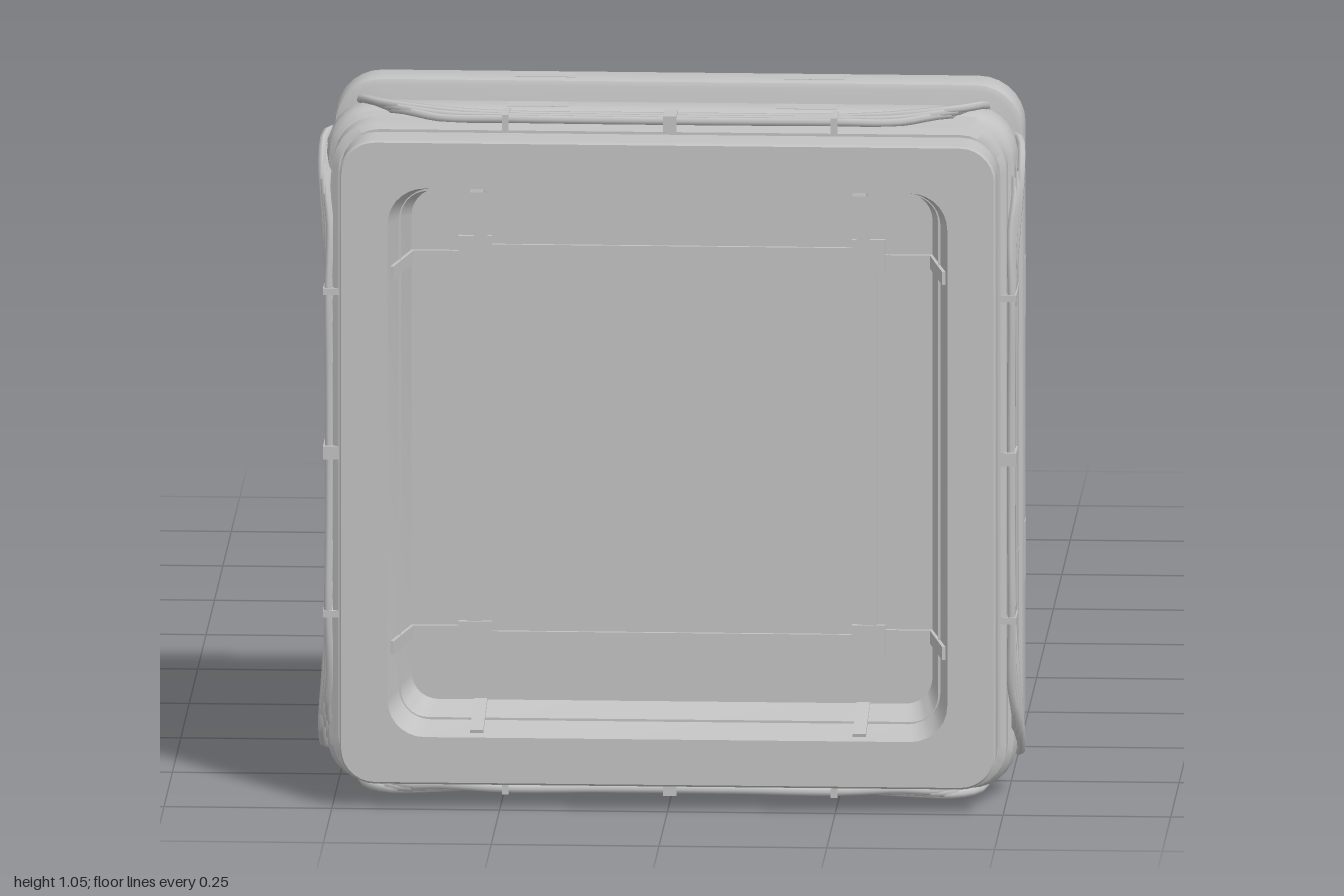
import * as THREE from 'three';
import { toCreasedNormals } from 'three/addons/utils/BufferGeometryUtils.js';

const CY = 0.528;  // height of the square housing's centre
const HX = 0.042;  // the rear boom sits slightly off centre

export function createModel() {
  const model = new THREE.Group();
  const grey = new THREE.MeshStandardMaterial({ color: 0xc2c2c2 });
  grey.name = 'hullGrey';

  const add = (parent, name, geo, x = 0, y = 0, z = 0) => {
    const m = new THREE.Mesh(geo, grey);
    m.name = name;
    m.position.set(x, y, z);
    parent.add(m);
    return m;
  };
  // box given by its limits
  const block = (parent, name, x0, x1, y0, y1, z0, z1) =>
    add(parent, name, new THREE.BoxGeometry(x1 - x0, y1 - y0, z1 - z0),
      (x0 + x1) / 2, (y0 + y1) / 2, (z0 + z1) / 2);

  // rounded squares [half, radius, z] joined in order
  const loft = (profile) => {
    const pos = [], idx = [], seg = 7, n = 4 * (seg + 1);
    for (const [h, r, z] of profile) {
      for (let c = 0; c < 4; c++) {
        const q = Math.PI / 4 + c * Math.PI / 2;
        const cx = Math.sign(Math.cos(q)) * (h - r), cy = Math.sign(Math.sin(q)) * (h - r);
        for (let s = 0; s <= seg; s++) {
          const a = (c + s / seg) * Math.PI / 2;
          pos.push(cx + r * Math.cos(a), cy + r * Math.sin(a), z);
        }
      }
    }
    for (let i = 0; i < profile.length - 1; i++) {
      for (let j = 0; j < n; j++) {
        const a = i * n + j, b = i * n + (j + 1) % n;
        idx.push(a, a + n, b, b, a + n, b + n);
      }
    }
    const g = new THREE.BufferGeometry();
    g.setAttribute('position', new THREE.Float32BufferAttribute(pos, 3));
    g.setIndex(idx);
    return toCreasedNormals(g, 0.6);
  };

  // side outline in (z, y), given width and chamfer, centred on the boom
  const boom = new THREE.Group();
  boom.name = 'rearBoom';
  boom.position.x = HX;
  model.add(boom);
  const prism = (name, pts, half, bevel = 0.01, x = 0) => {
    const g = new THREE.ExtrudeGeometry(new THREE.Shape(pts.map(p => new THREE.Vector2(...p))), {
      depth: 2 * (half - bevel), bevelEnabled: bevel > 0, bevelSize: bevel,
      bevelThickness: bevel, bevelOffset: -bevel, bevelSegments: 1
    });
    g.translate(0, 0, -(half - bevel));
    g.rotateY(-Math.PI / 2);
    return add(boom, name, g, x);
  };
  // narrows a prism from full width at y1 to a fraction at y0
  const taper = (mesh, y0, y1, k) => {
    const p = mesh.geometry.attributes.position;
    for (let i = 0; i < p.count; i++) {
      const t = (p.getY(i) - y0) / (y1 - y0);
      p.setX(i, p.getX(i) * (k + (1 - k) * t));
    }
    mesh.geometry.computeVertexNormals();
  };

  // ---- square housing ----
  const housing = new THREE.Group();
  housing.name = 'housing';
  housing.position.y = CY;
  model.add(housing);
  add(housing, 'frontFrame', loft([
    [0, 0, 0.86], [0.388, 0.04, 0.86], [0.417, 0.055, 1],
    [0.486, 0.05, 1], [0.489, 0.053, 0.997], [0.489, 0.055, 0.9]]));
  add(housing, 'frontCollar', loft([
    [0.4, 0.04, 0.935], [0.493, 0.06, 0.935], [0.502, 0.065, 0.928], [0.502, 0.065, 0.87]]));
  add(housing, 'middleRing', loft([
    [0.44, 0.05, 0.885], [0.5, 0.06, 0.885], [0.51, 0.07, 0.878], [0.514, 0.07, 0.865],
    [0.514, 0.07, 0.82], [0.51, 0.07, 0.807], [0.5, 0.06, 0.8], [0.3, 0.04, 0.8]]));
  add(housing, 'core', loft([[0.4, 0.02, 0.82], [0.4, 0.02, 0.65]]));
  add(housing, 'rearPlate', loft([
    [0.3, 0.04, 0.665], [0.504, 0.065, 0.665], [0.512, 0.07, 0.661], [0.514, 0.07, 0.653],
    [0.514, 0.07, 0.602], [0.511, 0.07, 0.591], [0.5, 0.06, 0.585],
    [0.42, 0.045, 0.585], [0.417, 0.045, 0.595], [0, 0, 0.595]]));

  // one side of the housing, +y outward, repeated around the square
  for (let k = 0; k < 4; k++) {
    const side = new THREE.Group();
    side.name = 'housingSide';
    side.rotation.z = k * Math.PI / 2;
    housing.add(side);
    block(side, 'cornerPillar', 0.28, 0.437, 0.28, 0.437, 0.66, 0.805);
    block(side, 'recessPanel', -0.28, 0.28, 0.39, 0.422, 0.682, 0.765);
    // inner screen trim
    block(side, 'screenTrim', -0.275, 0.275, 0.283, 0.305, 0.855, 0.866);
    block(side, 'trimCorner', 0.268, 0.318, 0.268, 0.318, 0.855, 0.868);
    for (const s of [-1, 1]) {
      block(side, 'trimBar', s * 0.285 - 0.01, s * 0.285 + 0.01, 0.3, 0.39, 0.855, 0.867);
      const rib = block(side, 'wallRib', s * 0.285 - 0.01, s * 0.285 + 0.01, 0.396, 0.406, 0.86, 0.985);
      rib.rotation.x = -0.2;
      // flush plates on the rings
      block(side, 'ringPlate', s * 0.2 - 0.045, s * 0.2 + 0.045, 0.508, 0.5148, 0.825, 0.86);
      block(side, 'rearEdgePlate', s * 0.2 - 0.045, s * 0.2 + 0.045, 0.508, 0.5148, 0.612, 0.645);
    }
    // cables bulging around both corners and tucking in behind the ring
    for (let c = 0; c < 3; c++) {
      const d = c * 0.016, e = c * 0.004;
      const half = [
        [0.425 - d, 0.43, 0.73], [0.453 - d, 0.485, 0.765 + d], [0.465 - d, 0.516 - e, 0.825 + d],
        [0.43 - d, 0.521 - e, 0.875 + d / 2], [0.34, 0.515 - e, 0.898 + d / 2],
        [0.245, 0.509, 0.895 + d], [0.1, 0.508, 0.893 + d]];
      const pts = [...half, ...half.slice().reverse().map(([x, y, z]) => [-x, y, z])]
        .map(p => new THREE.Vector3(...p));
      add(side, 'cable', new THREE.TubeGeometry(new THREE.CatmullRomCurve3(pts), 64, 0.0065, 6));
    }
    for (const t of [-0.245, 0, 0.245]) {
      const w = t ? 0.005 : 0.01;
      block(side, 'cableClip', t - w, t + w, 0.49, 0.5165, 0.88, 0.935);
    }
  }

  // ---- boom body ----
  prism('boomCore', [[0.6, 0.22], [0.5, 0.26], [0.43, 0.31], [0.06, 0.33], [0.0, 0.42],
    [-0.02, 0.5], [0.08, 0.615], [0.36, 0.62], [0.6, 0.615]], 0.087, 0.026);
  prism('boomShell', [[0.42, 0.42], [0.36, 0.48], [0.31, 0.615], [0.09, 0.615], [-0.01, 0.5],
    [-0.02, 0.42]], 0.096, 0.018);
  prism('topCap', [[0.58, 0.6], [0.39, 0.625], [0.375, 0.642], [0.1, 0.642], [0.08, 0.634],
    [0.085, 0.617]], 0.084, 0.007);
  prism('topRail', [[0.05, 0.5], [0.02, 0.58], [-0.61, 0.58], [-0.655, 0.52], [-0.62, 0.515],
    [-0.1, 0.5]], 0.047, 0.012);
  prism('railBed', [[0.02, 0.49], [0.0, 0.525], [-0.6, 0.525], [-0.58, 0.49]], 0.062, 0.008);
  prism('middleRail', [[0.05, 0.42], [0.02, 0.5], [-0.56, 0.5], [-0.49, 0.42]], 0.088, 0.012);
  prism('lowerShoulder', [[0.43, 0.39], [0.4, 0.412], [0.13, 0.412], [0.06, 0.364], [0.41, 0.364]], 0.095, 0.006);
  taper(prism('lowerRail', [[0.42, 0.366], [-0.435, 0.366], [-0.38, 0.305], [0.37, 0.305]],
    0.09, 0), 0.305, 0.366, 0.6);
  prism('railSpine', [[0.1, 0.35], [0.1, 0.44], [-0.45, 0.44], [-0.41, 0.35]], 0.05, 0);
  for (const s of [-1, 1]) {
    prism('sideStrip', [[0.02, 0.488], [0.02, 0.503], [-0.575, 0.503], [-0.56, 0.488]], 0.006, 0, s * 0.089);
    prism('lowerStrip', [[0.06, 0.405], [0.05, 0.418], [-0.49, 0.418], [-0.47, 0.405]], 0.006, 0, s * 0.082);
    prism('tailPlate', [[-0.4, 0.47], [-0.4, 0.525], [-0.64, 0.525], [-0.6, 0.5], [-0.5, 0.47]], 0.008, 0, s * 0.056);
    // paired studs along the rails
    for (const [z, y] of [[-0.09, 0.508], [-0.135, 0.508], [-0.37, 0.508], [-0.415, 0.508],
      [0.02, 0.4], [-0.025, 0.4], [-0.24, 0.4], [-0.285, 0.4]]) {
      const stud = add(boom, 'stud', new THREE.SphereGeometry(0.013, 10, 8), s * 0.076, y, z);
      stud.scale.y = 1.5;
    }
    // slim fins beside the keel block
    prism('rootFin', [[0.6, 0.25], [0.6, 0.32], [0.48, 0.32], [0.4, 0.3], [0.48, 0.26]], 0.008, 0, s * 0.096);
  }

  // ---- root fins above and keel block below ----
  prism('upperRoot', [[0.6, 0.6], [0.6, 0.745], [0.49, 0.745], [0.45, 0.695], [0.37, 0.685],
    [0.37, 0.63], [0.4, 0.6]], 0.038, 0.01);
  for (const s of [-1, 1]) {
    prism('upperSideFin', [[0.6, 0.61], [0.6, 0.7], [0.5, 0.69], [0.42, 0.65], [0.4, 0.61]], 0.015, 0.005, s * 0.05);
  }
  prism('topFin', [[0.6, 0.74], [0.6, 0.832], [0.535, 0.832], [0.495, 0.8], [0.395, 0.8],
    [0.38, 0.765], [0.43, 0.755], [0.5, 0.765], [0.53, 0.74]], 0.022, 0.007);
  prism('topBlade', [[0.45, 0.752], [0.45, 0.764], [0.24, 0.762], [0.22, 0.752]], 0.012, 0);
  prism('keelBlock', [[0.6, 0.18], [0.57, 0.185], [0.52, 0.228], [0.43, 0.235], [0.38, 0.305],
    [0.42, 0.36], [0.6, 0.36]], 0.082, 0.024);
  prism('keelRoot', [[0.6, 0.2], [0.56, 0.21], [0.5, 0.25], [0.5, 0.3], [0.54, 0.33], [0.6, 0.34]], 0.115, 0.016);
  block(boom, 'keelSensor', -0.015, 0.015, 0.278, 0.31, 0.22, 0.27);
  for (const z of [0.3, 0.33]) block(boom, 'keelNub', -0.01, 0.01, 0.285, 0.31, z - 0.006, z + 0.006);

  // ---- tail antennas ----
  for (const [x, y, end, r] of [[0.005, 0.463, -1, 0.004], [-0.027, 0.477, -0.83, 0.004],
    [0.026, 0.447, -0.89, 0.004], [0.005, 0.463, -0.87, 0.007]]) {
    const g = new THREE.CylinderGeometry(r, r, -0.45 - end, 8);
    g.rotateX(Math.PI / 2);
    add(boom, 'antenna', g, x, y, (end - 0.45) / 2);
  }
  block(boom, 'antennaBox', -0.01, 0.02, 0.452, 0.474, -0.79, -0.745);
  block(boom, 'antennaBox', 0.008, 0.036, 0.434, 0.46, -0.705, -0.635);
  block(boom, 'antennaBox', -0.038, -0.016, 0.468, 0.486, -0.65, -0.6);
  block(boom, 'antennaMount', -0.035, 0.035, 0.44, 0.49, -0.56, -0.48);

  return model;
}
